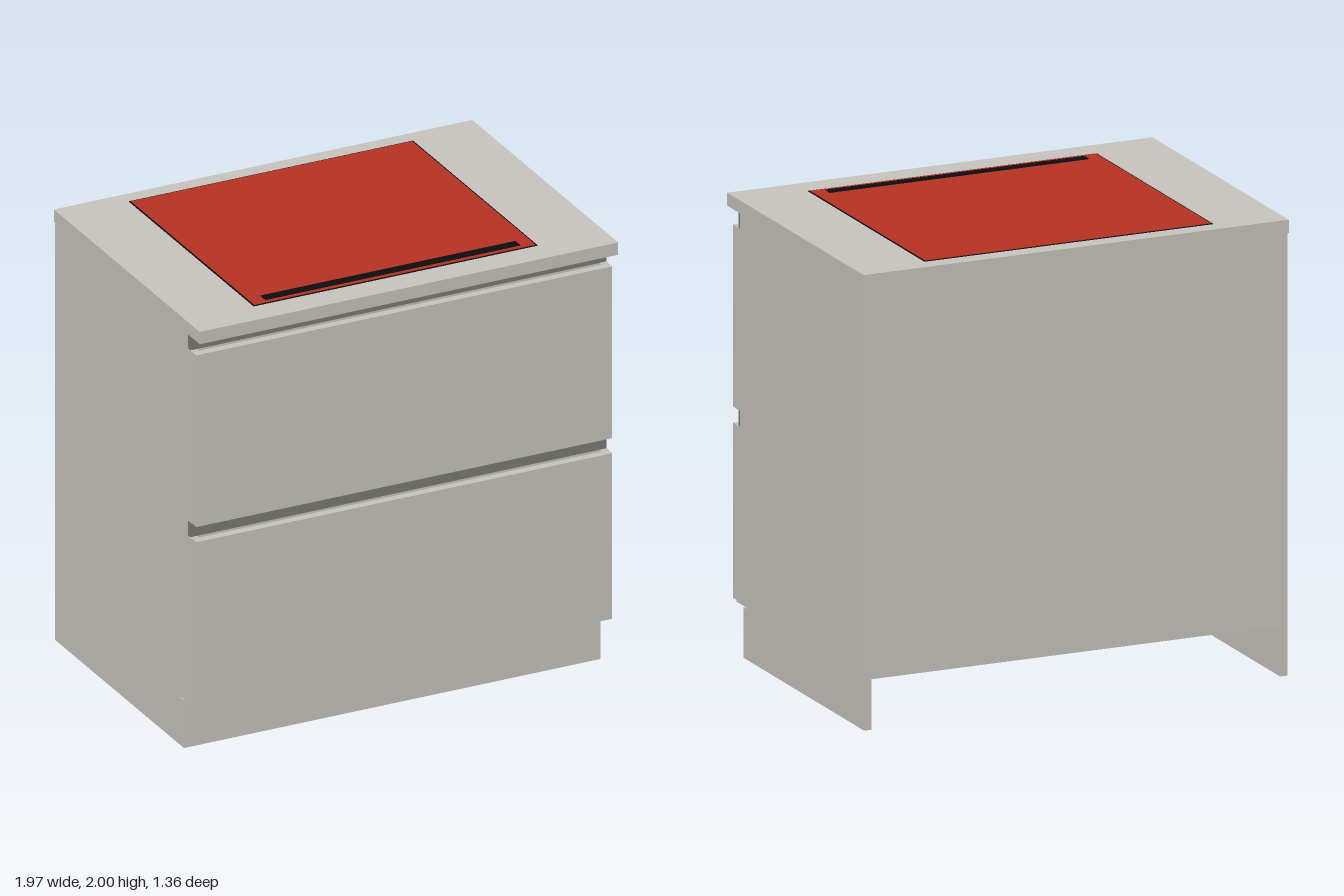
import * as THREE from 'three';

export function createModel() {
  const model = new THREE.Group();
  model.name = 'kitchenDrawerCabinet';

  const mat = (name, color) => {
    const m = new THREE.MeshStandardMaterial({ color });
    m.name = name;
    return m;
  };
  const stone = mat('warm grey', 0xc9c5bf);
  const shadowGrey = mat('grip channel grey', 0x7c7b74);
  const red = mat('hob red', 0xb83322);
  const black = mat('hob black', 0x0d0d10);

  // Box given by its min and max on each axis
  const box = (name, material, [x0, x1], [y0, y1], [z0, z1]) => {
    const mesh = new THREE.Mesh(new THREE.BoxGeometry(x1 - x0, y1 - y0, z1 - z0), material);
    mesh.position.set((x0 + x1) / 2, (y0 + y1) / 2, (z0 + z1) / 2);
    mesh.name = name;
    model.add(mesh);
    return mesh;
  };

  const W = 0.98;      // half width of the carcass
  const T = 0.035;     // panel thickness
  const TOP = 1.937;   // underside of the worktop
  const BACK = -0.677;
  const inner = [-W + T, W - T];

  // Side panels, notched for the toe space and the two grip channels
  const outline = [
    [BACK, 0], [0.49, 0], [0.49, 0.227], [0.598, 0.227],
    [0.598, 1.0], [0.56, 1.0], [0.56, 1.07], [0.598, 1.07],
    [0.598, 1.866], [0.56, 1.866], [0.56, TOP], [BACK, TOP],
  ];
  const profile = new THREE.Shape(outline.map(([z, y]) => new THREE.Vector2(-z, y)));
  const sideGeometry = new THREE.ExtrudeGeometry(profile, { depth: T, bevelEnabled: false });
  sideGeometry.rotateY(Math.PI / 2); // profile axis now runs along z, depth along x
  for (const [name, x] of [['leftSidePanel', W - T], ['rightSidePanel', -W]]) {
    const side = new THREE.Mesh(sideGeometry, stone);
    side.position.x = x;
    side.name = name;
    model.add(side);
  }

  // Carcass floor, back and toe kick
  box('floorPanel', stone, inner, [0.227, 0.262], [-0.66, 0.595]);
  box('backPanel', stone, inner, [0.22, TOP], [-0.674, -0.66]);
  box('toeKick', stone, [-W, W], [0, 0.222], [0.49, 0.525]);

  // Drawer fronts with a recessed grip channel above each
  for (const [name, y0, y1, gapTop] of [['lower', 0.233, 1.0, 1.07], ['upper', 1.07, 1.866, TOP]]) {
    box(name + 'DrawerFront', stone, [-0.978, 0.978], [y0, y1], [0.6, 0.636]);
    box(name + 'GripChannel', shadowGrey, [-0.978, 0.978], [y1, gapTop], [0.56, 0.581]);
  }

  // Worktop with the inset hob, its dark rim and control strip
  box('worktop', stone, [-0.984, 0.984], [TOP, 1.994], [-0.68, 0.68]);
  box('hobRim', black, [-0.668, 0.668], [1.99, 1.996], [-0.606, 0.556]);
  box('hobGlass', red, [-0.661, 0.661], [1.992, 1.998], [-0.599, 0.549]);
  box('hobControlStrip', black, [-0.6, 0.6], [1.994, 2.0], [0.483, 0.53]);

  return model;
}
